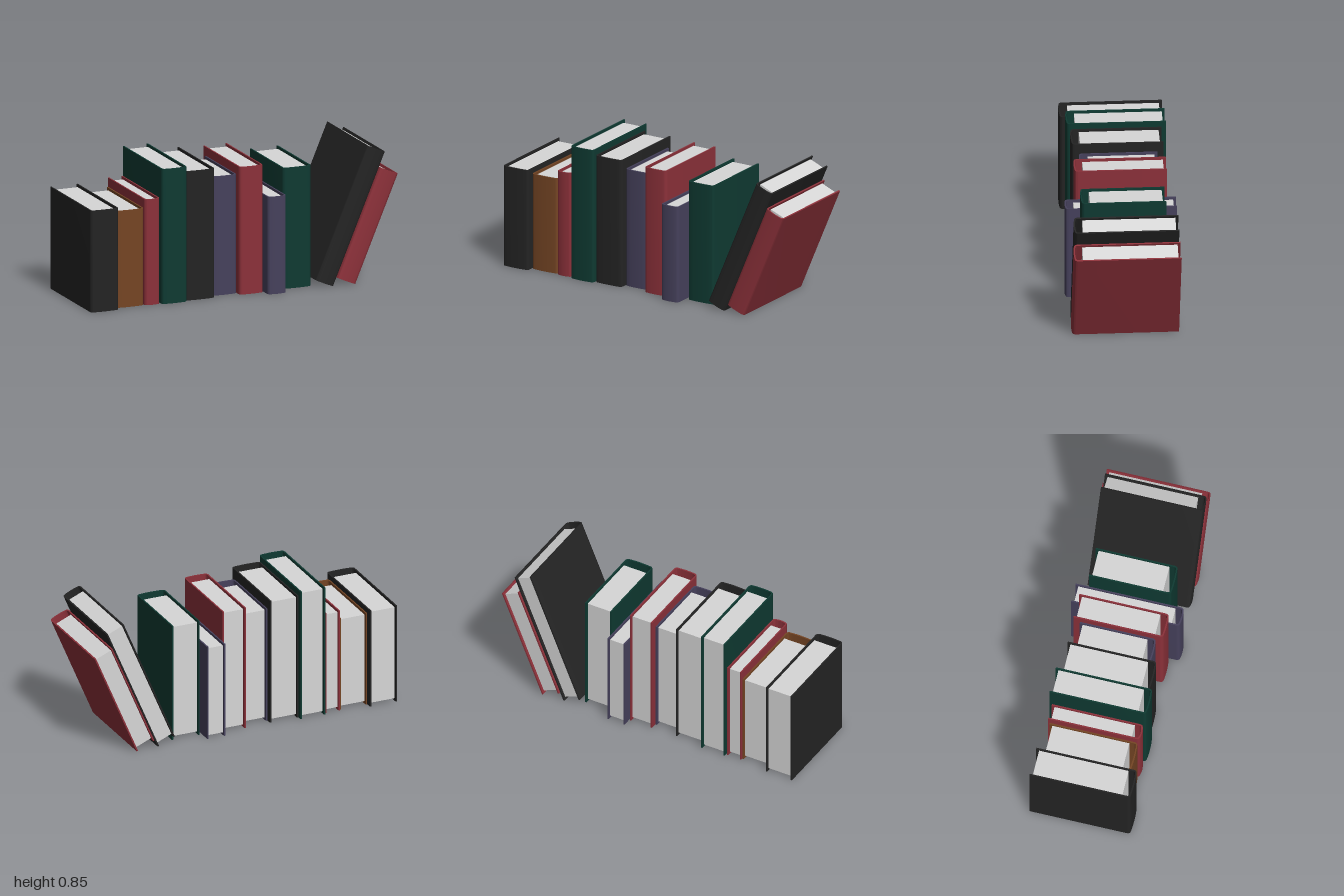
import * as THREE from 'three';
import { toCreasedNormals } from 'three/addons/utils/BufferGeometryUtils.js';

const material = (name, color) => new THREE.MeshStandardMaterial({ name, color });

const COVER = 0.009;  // board thickness
const LIP = 0.016;    // how far the boards overhang the pages
const GAP = 0.055;    // hollow between spine and pages

// One side of the U-shaped cover, traced from right board edge round the spine to the left
function traceCover(half, back, front, r) {
  const curve = new THREE.Path();
  curve.moveTo(half, back);
  curve.lineTo(half, -front + r + 0.008);
  curve.quadraticCurveTo(half, -front + 0.006, half - r, -front + 0.004);
  curve.quadraticCurveTo(0, -front - 0.004, -half + r, -front + 0.004);
  curve.quadraticCurveTo(-half, -front + 0.006, -half, -front + r + 0.008);
  curve.lineTo(-half, back);
  return curve.getPoints(6);
}

// Book whose lower right edge is the local origin, so it can lean about that edge
function makeBook(name, cover, pages, w, h, zBack, zFront) {
  const book = new THREE.Group();
  book.name = name;

  // Cover: two boards and a softly rounded spine, open at the back
  const outer = traceCover(w / 2, -zBack, zFront, 0.018);
  const inner = traceCover(w / 2 - COVER, -zBack, zFront - COVER, 0.012);
  const shape = new THREE.Shape([...outer, ...inner.reverse()]);
  const geometry = new THREE.ExtrudeGeometry(shape, { depth: h, bevelEnabled: false });
  geometry.rotateX(-Math.PI / 2);
  const coverMesh = new THREE.Mesh(toCreasedNormals(geometry, 0.6), cover);
  coverMesh.name = 'cover';
  coverMesh.position.x = -w / 2;

  // Page block, set in from the cover edges
  const z0 = zBack + 0.018, z1 = zFront - GAP;
  const block = new THREE.Mesh(
    new THREE.BoxGeometry(w - 2 * COVER, h - 2 * LIP, z1 - z0), pages);
  block.name = 'pages';
  block.position.set(-w / 2, h / 2, (z0 + z1) / 2);

  book.add(coverMesh, block);
  return book;
}

export function createModel() {
  const black = material('black cloth', 0x242424);
  const brown = material('brown cloth', 0x754524);
  const red = material('red cloth', 0x8c313a);
  const green = material('green cloth', 0x0f3a32);
  const purple = material('purple cloth', 0x46415c);
  const paper = material('paper', 0xd6d6d6);

  const model = new THREE.Group();
  model.name = 'bookRow';

  // Upright books: colour, left x, right x, height, back z, spine z
  const upright = [
    [black, -1.0, -0.82, 0.63, -0.32, 0.305],
    [brown, -0.819, -0.637, 0.6, -0.283, 0.265],
    [red, -0.635, -0.537, 0.655, -0.293, 0.275],
    [green, -0.53, -0.367, 0.835, -0.31, 0.29],
    [black, -0.366, -0.178, 0.8, -0.282, 0.27],
    [purple, -0.177, -0.017, 0.737, -0.246, 0.228],
    [red, -0.016, 0.137, 0.79, -0.287, 0.27],
    [purple, 0.143, 0.262, 0.603, -0.34, 0.333],
    [green, 0.277, 0.46, 0.748, -0.263, 0.247],
  ];
  upright.forEach(([color, x0, x1, h, zb, zf], i) => {
    const book = makeBook(`uprightBook${i + 1}`, color, paper, x1 - x0, h, zb, zf);
    book.position.x = x1;
    model.add(book);
  });

  // Leaning books: colour, lower right x, thickness, height, back z, spine z
  const leaning = [
    [black, 0.578, 0.122, 0.868, -0.316, 0.316],
    [red, 0.721, 0.127, 0.712, -0.325, 0.321],
  ];
  leaning.forEach(([color, x, w, h, zb, zf], i) => {
    const book = makeBook(`leaningBook${i + 1}`, color, paper, w, h, zb, zf);
    book.position.x = x;
    book.rotation.z = -0.4;
    model.add(book);
  });
  return model;
}
